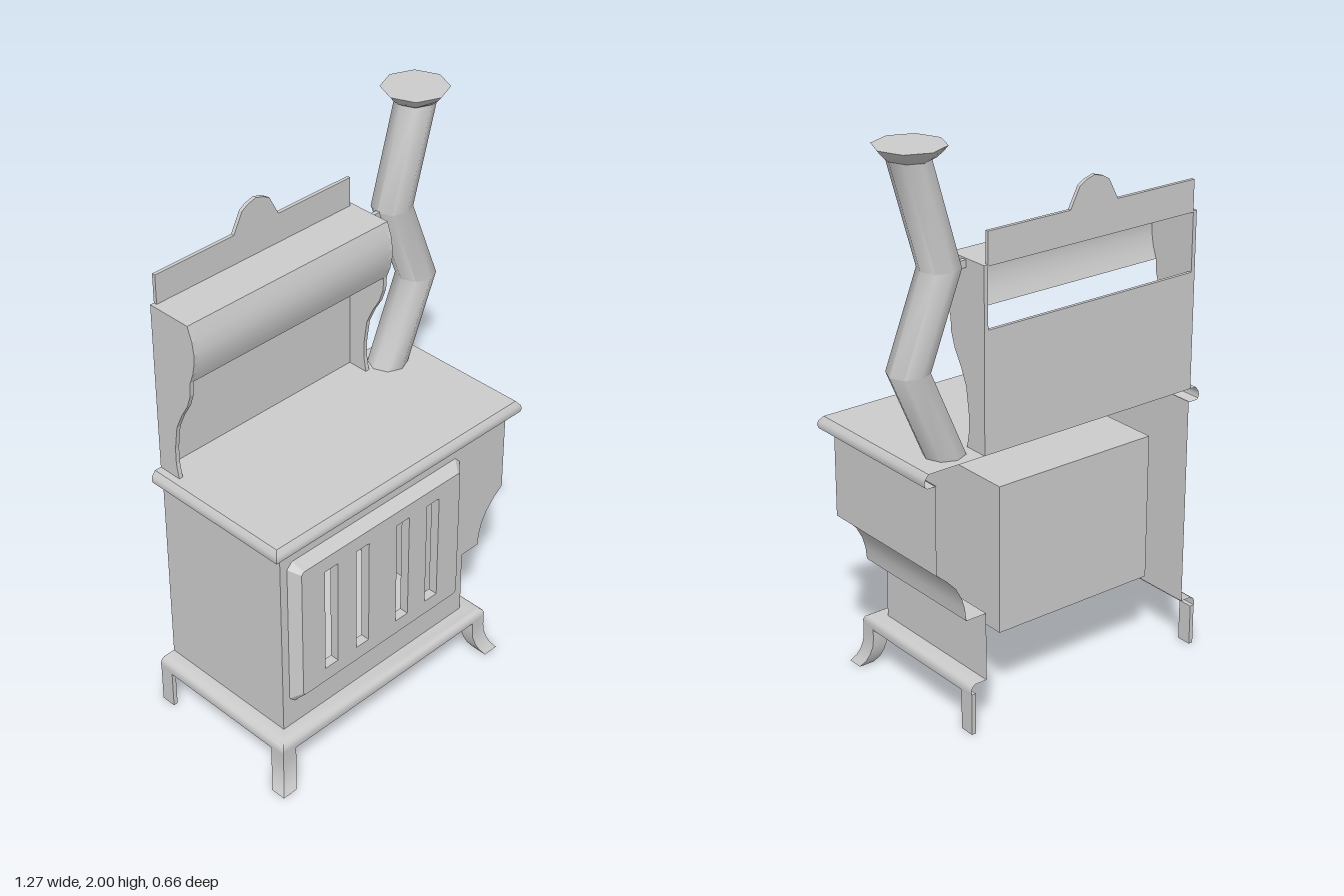
import * as THREE from 'three';
import { toCreasedNormals } from 'three/addons/utils/BufferGeometryUtils.js';

const mat = new THREE.MeshStandardMaterial({ color: 0xcccccc, side: THREE.DoubleSide });
const BACK = -0.315, FRONT = 0.235;

// Surface through a list of rings with equal point counts
function skin(rings, closed = false, crease = 0.7) {
  const n = rings[0].length, index = [];
  for (let r = 0; r < rings.length - 1; r++) {
    for (let i = 0; i < (closed ? n : n - 1); i++) {
      const a = r * n + i, b = r * n + (i + 1) % n;
      index.push(a, b, b + n, a, b + n, a + n);
    }
  }
  const g = new THREE.BufferGeometry();
  g.setAttribute('position', new THREE.Float32BufferAttribute(rings.flat(2), 3));
  g.setIndex(index);
  return toCreasedNormals(g, crease);
}

const polygon = pts => new THREE.Shape(pts.map(p => new THREE.Vector2(...p)));
const rect = (x0, y0, x1, y1) => [[x0, y0], [x1, y0], [x1, y1], [x0, y1]];
const extrude = (shape, depth) => new THREE.ExtrudeGeometry(shape, { depth, bevelEnabled: false });

// Rounded moulding along left, front and right edges; profile = [outward offset, y]
const moulding = (xL, xR, zF, profile) => skin(profile.map(([o, y]) => [
  [xL - o, y, BACK], [xL - o, y, zF + o], [xR + o, y, zF + o], [xR + o, y, BACK]]));

// Rectangle with cut corners, as a ring at depth z
const cutRect = (x0, y0, x1, y1, c, z) => [
  [x0 + c, y0, z], [x1 - c, y0, z], [x1, y0 + c, z], [x1, y1 - c, z],
  [x1 - c, y1, z], [x0 + c, y1, z], [x0, y1 - c, z], [x0, y0 + c, z]];

// Horizontal eight-sided ring
const ring8 = (x, y, z, r) => Array.from({ length: 8 }, (_, i) => {
  const a = -i * Math.PI / 4;
  return [x + r * Math.cos(a), y, z + r * Math.sin(a)];
});

export function createModel() {
  const model = new THREE.Group();
  const add = (name, geo, x = 0, y = 0, z = 0) => {
    const m = new THREE.Mesh(geo, mat);
    m.name = name;
    m.position.set(x, y, z);
    model.add(m);
    return m;
  };
  const box = (name, x0, x1, y0, y1, z0, z1) => add(name,
    new THREE.BoxGeometry(x1 - x0, y1 - y0, z1 - z0), (x0 + x1) / 2, (y0 + y1) / 2, (z0 + z1) / 2);

  // Body: open-backed shell whose left side swells out through a cove
  const leftProfile = [[0.32, 0.185], [0.32, 0.43], [0.4, 0.43], [0.405, 0.475], [0.417, 0.515],
    [0.44, 0.558], [0.475, 0.595], [0.515, 0.627], [0.515, 0.94]];
  const rightProfile = [[-0.54, 0.94], [-0.54, 0.185]];
  const wall = profile => skin([FRONT, BACK].map(z => profile.map(([x, y]) => [x, y, z])), false, 0.5);
  add('leftWall', wall(leftProfile));
  add('rightWall', wall(rightProfile));
  const firebox = [-0.43, 0.29, 0.21, 0.82];
  const frontShape = polygon([...leftProfile, ...rightProfile]);
  frontShape.holes.push(polygon(rect(...firebox)));
  add('frontWall', new THREE.ShapeGeometry(frontShape), 0, 0, FRONT);

  // Firebox: open towards the door
  const fireRing = z => rect(...firebox).map(([x, y]) => [x, y, z]);
  add('fireboxSides', skin([fireRing(FRONT), fireRing(-0.245)], true, 0.3));
  add('fireboxBack', new THREE.ShapeGeometry(polygon(rect(...firebox))), 0, 0, -0.245);

  // Door: bevelled rim and slotted panel
  const inner = cutRect(-0.48, 0.32, 0.255, 0.845, 0.01, 0.27);
  add('doorRim', skin([cutRect(-0.51, 0.283, 0.288, 0.878, 0.022, FRONT), inner], true, 0.3));
  const panel = polygon(inner.map(p => p.slice(0, 2)));
  for (const x of [-0.349, -0.206, -0.018, 0.125]) {
    panel.holes.push(polygon(rect(x - 0.029, 0.375, x + 0.029, 0.79)));
  }
  add('doorPanel', extrude(panel, 0.034), 0, 0, FRONT + 0.001);

  // Cooking top
  add('topEdge', moulding(-0.545, 0.515, 0.23, [[-0.005, 0.937], [0.03, 0.937], [0.038, 0.942],
    [0.041, 0.955], [0.038, 0.968], [0.025, 0.985]]));
  const top = new THREE.PlaneGeometry(1.11, 0.255 - BACK).rotateX(-Math.PI / 2);
  add('cookingTop', top, -0.015, 0.985, (0.255 + BACK) / 2);

  // Base moulding
  add('baseEdge', moulding(-0.54, 0.32, FRONT, [[0, 0.185], [0.045, 0.185], [0.056, 0.178],
    [0.062, 0.165], [0.06, 0.145], [0.048, 0.145]]));

  // Legs: flared at the front, plain at the back
  const legPath = [[0, 0.15], [0, 0.11], [0.002, 0.08], [0.009, 0.05], [0.019, 0.024], [0.035, 0]];
  for (const [side, cx] of [[-1, -0.572], [1, 0.352]]) {
    const rings = legPath.map(([o, y]) => {
      const x = cx + side * o, z = 0.267 + o, h = 0.029;
      return [[x - h, y, z - h], [x + h, y, z - h], [x + h, y, z + h], [x - h, y, z + h]];
    });
    add('frontLeg', skin(rings, true));
    const foot = new THREE.PlaneGeometry(0.058, 0.058).rotateX(Math.PI / 2);
    add('frontLegFoot', foot, cx + side * 0.035, 0, 0.302);
    const xo = cx + side * 0.02;
    box('backLeg', xo - 0.008, xo + 0.008, 0, 0.15, BACK, -0.26);
  }

  // Warming shelf: wavy side brackets, curved hood, back panel and crest
  const hood = [[-0.145, 1.4], [-0.13, 1.44], [-0.122, 1.48], [-0.12, 1.515],
    [-0.127, 1.56], [-0.145, 1.61]];
  const bracket = polygon([[BACK, 0.985], [-0.225, 0.985], [-0.235, 1.04], [-0.235, 1.1],
    [-0.222, 1.19], [-0.195, 1.25], [-0.165, 1.3], [-0.148, 1.35], ...hood, [BACK, 1.61]]);
  for (const x of [-0.545, 0.308]) {
    // Shape x runs along z, so turn it and start from the far face
    add('sideBracket', extrude(bracket, 0.015).rotateY(-Math.PI / 2), x + 0.015);
  }
  add('hood', skin([-0.53, 0.308].map(x => [...hood, [BACK, 1.61]].map(([z, y]) => [x, y, z]))));
  box('backPanel', -0.53, 0.308, 0.985, 1.4, BACK, -0.303);
  const crest = polygon([[-0.53, 1.605], [0.308, 1.605], [0.308, 1.716], [-0.013, 1.716], [-0.05, 1.787],
    [-0.075, 1.802], [-0.109, 1.812], [-0.143, 1.802], [-0.168, 1.787], [-0.205, 1.716], [-0.53, 1.716]]);
  add('crest', extrude(crest, 0.013), 0, 0, BACK);

  // Stovepipe: zigzag of mitred sections with a flared cap
  const pz = -0.218;
  const bends = [[0.408, 0.985], [0.54, 1.29], [0.419, 1.6], [0.525, 1.96]];
  add('stovepipe', skin(bends.map(([x, y]) => ring8(x, y, pz, 0.07)), true, 0.85));
  const cap = [[0.066, 1.955], [0.08, 1.963], [0.1, 1.982], [0.115, 2], [0, 2]];
  add('pipeCap', skin(cap.map(([r, y]) => ring8(0.52, y, pz, r)), true, 0.85));
  box('pipeBracket', 0.32, 0.37, 1.58, 1.605, pz - 0.008, pz + 0.008);

  return model;
}
